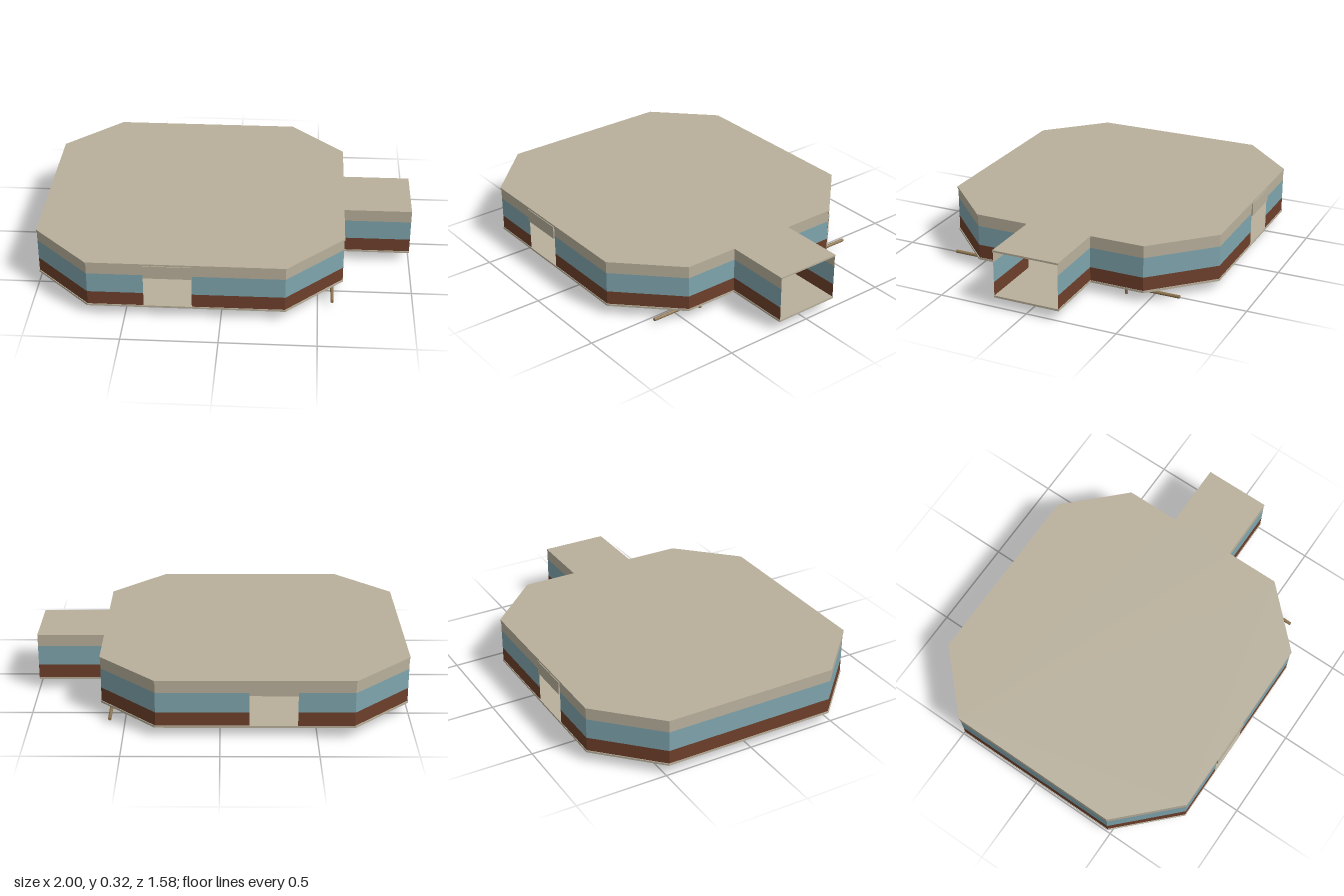
import * as THREE from 'three';

const mat = (name, color, side = THREE.FrontSide) => {
  const m = new THREE.MeshStandardMaterial({ color, side });
  m.name = name;
  return m;
};

export function createModel() {
  const model = new THREE.Group();
  model.name = 'octagonalPavilion';

  const beige = mat('beige', 0xb9b09c, THREE.DoubleSide);
  const teal = mat('teal', 0x7fa5ae, THREE.DoubleSide);
  const brown = mat('brown', 0x6e3f2b, THREE.DoubleSide);
  const wood = mat('wood', 0x8f7650);

  const add = (name, geometry, material, x = 0, y = 0, z = 0, parent = model) => {
    const mesh = new THREE.Mesh(geometry, material);
    mesh.name = name;
    mesh.position.set(x, y, z);
    parent.add(mesh);
    return mesh;
  };
  const box = (name, w, h, d, material, x, y, z, parent) =>
    add(name, new THREE.BoxGeometry(w, h, d), material, x, y, z, parent);

  // Half plan from the corridor mouth round to the far end, z >= 0
  const half = [[1, 0.185], [0.635, 0.185], [0.635, 0.485], [0.335, 0.787], [-0.695, 0.787], [-1, 0.485]];
  const plan = [...half, ...half.map(([x, z]) => [x, -z]).reverse()];

  // Floor and roof slabs
  const slab = (name, bottom, height) => {
    const shape = new THREE.Shape(plan.map(([x, z]) => new THREE.Vector2(x, -z)));
    const geo = new THREE.ExtrudeGeometry(shape, { depth: height, bevelEnabled: false });
    geo.rotateX(-Math.PI / 2);
    add(name, geo, beige, 0, bottom, 0);
  };
  slab('floor', 0.054, 0.011);
  slab('roof', 0.308, 0.01);

  // Thin wall strips along open paths, leaving two doorways and the corridor mouth
  const strip = (path, y0, y1) => {
    const pos = [];
    for (let i = 0; i < path.length - 1; i++) {
      const [ax, az] = path[i], [bx, bz] = path[i + 1];
      pos.push(ax, y0, az, ax, y1, az, bx, y1, bz, ax, y0, az, bx, y1, bz, bx, y0, bz);
    }
    const geo = new THREE.BufferGeometry();
    geo.setAttribute('position', new THREE.Float32BufferAttribute(pos, 3));
    geo.computeVertexNormals();
    return geo;
  };
  const inset = (points) => points.map(([x, z]) => [
    x === 1 ? x : x - 0.003 * Math.sign(x), z - 0.003 * Math.sign(z)]);
  const doorL = 0.784, doorNear = -0.15, doorFar = -0.4;
  const side = [...inset(half.slice(0, 4)), [doorNear, doorL]];
  const flip = (path) => path.map(([x, z]) => [x, -z]).reverse();
  const farHalf = [[doorFar, doorL], ...inset(half.slice(4))];
  // Reversed paths keep the outward face in front
  const paths = [
    ['frontWall', [...side].reverse()],
    ['backWall', flip(side).reverse()],
    ['endWall', [...farHalf, ...flip(farHalf)].reverse()],
  ];
  const bands = [['Base', brown, 0.065, 0.14], ['Middle', teal, 0.14, 0.25], ['Top', beige, 0.25, 0.308]];
  for (const [name, path] of paths)
    for (const [label, material, y0, y1] of bands)
      add(name + label, strip(path, y0, y1), material);

  for (const s of [1, -1]) {
    // Door lintel and column just inside each doorway
    box('doorLintel', 0.25, 0.073, 0.008, beige, -0.275, 0.2715, s * 0.787);
    add('column', new THREE.CylinderGeometry(0.012, 0.012, 0.243, 12), brown, -0.44, 0.1865, s * 0.62);
  }

  // Ceiling lamp in the corridor
  add('corridorLamp', new THREE.CylinderGeometry(0.017, 0.014, 0.02, 12), wood, 0.886, 0.298, 0);

  // Seating around a central pedestal
  const seating = new THREE.Group();
  seating.name = 'seating';
  model.add(seating);
  box('table', 0.07, 0.006, 0.07, brown, -0.48, 0.105, 0, seating);
  add('tableLeg', new THREE.CylinderGeometry(0.006, 0.018, 0.04, 10), teal, -0.48, 0.085, 0, seating);
  const panel = add('taperedPanel', new THREE.CylinderGeometry(0.028, 0.042, 0.095, 4), teal, -0.48, 0.155, 0, seating);
  panel.geometry.rotateY(Math.PI / 4);
  panel.scale.x = 0.3;
  for (const s of [1, -1]) {
    box('chairSeat', 0.045, 0.01, 0.05, brown, -0.408, 0.09, s * 0.1, seating);
    box('chairBack', 0.045, 0.045, 0.008, brown, -0.408, 0.105, s * 0.122, seating);
    add('chairLeg', new THREE.CylinderGeometry(0.008, 0.014, 0.022, 10), brown, -0.408, 0.076, s * 0.1, seating);
  }

  // Pole framework under the floor
  const frame = new THREE.Group();
  frame.name = 'underframe';
  model.add(frame);
  const pole = (length, r = 0.009) => new THREE.CylinderGeometry(r, r, length, 10);
  for (const s of [1, -1])
    add('longPole', pole(1.485).rotateZ(Math.PI / 2), wood, -0.1375, 0.046, s * 0.365, frame);
  for (const [x, z] of [[0.575, 0.365], [0.09, 0.605], [-0.455, 0.605], [-0.755, 0.425]]) {
    add('crossPole', pole(1.325).rotateX(Math.PI / 2), wood, x, 0.043, 0, frame);
    for (const s of [1, -1])
      add('foot', pole(0.042, 0.008), wood, x, 0.021, s * z, frame);
  }
  return model;
}
